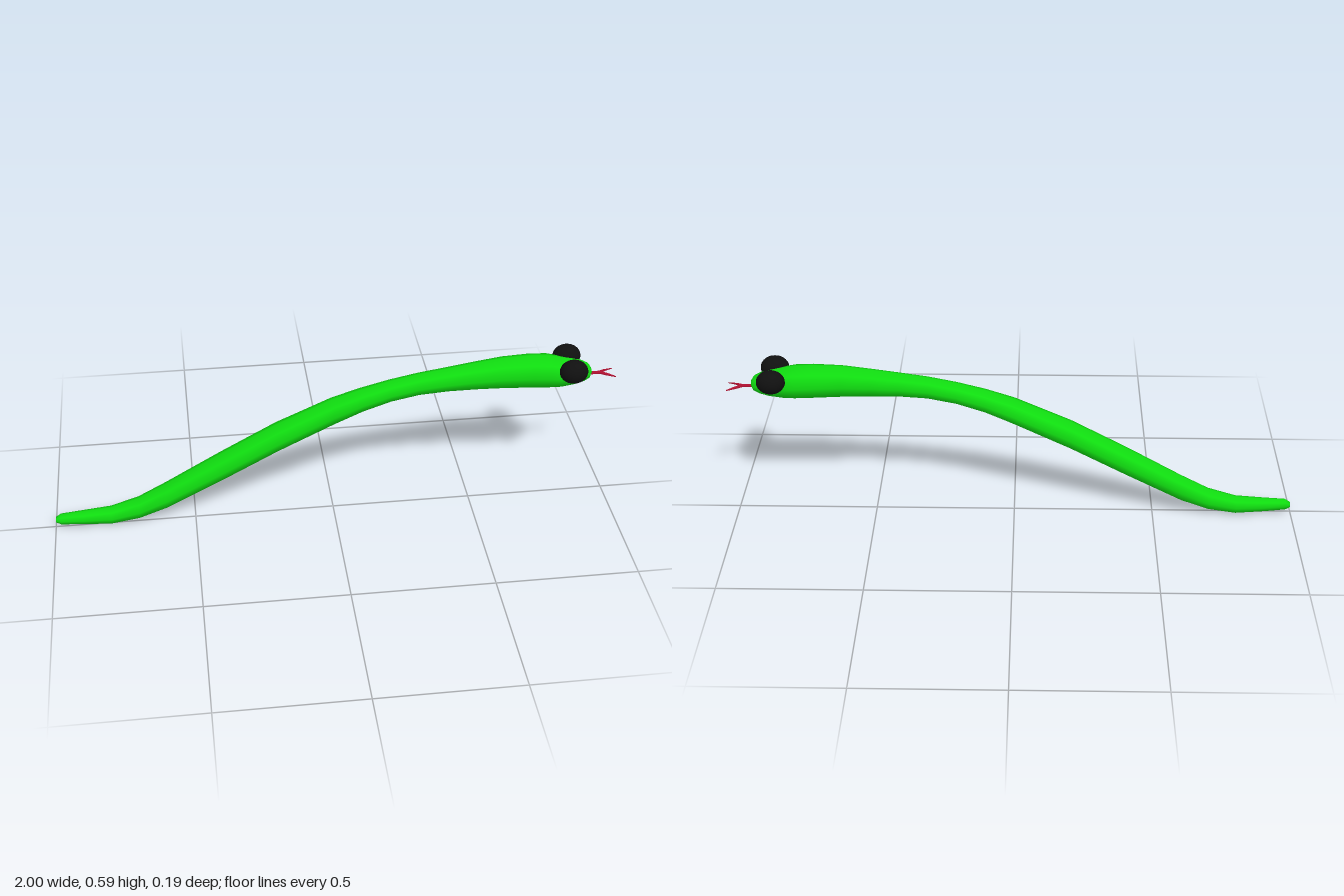
import * as THREE from 'three';

// Body stations: x, top y, bottom y, far side z, near side z
const STATIONS = [
  [-0.998, 0.042, 0.024, -0.012, 0.010], [-0.98, 0.054, 0.015, -0.021, 0.018],
  [-0.9, 0.059, 0.009, -0.030, 0.023], [-0.8, 0.067, 0.003, -0.038, 0.028],
  [-0.7, 0.098, 0.020, -0.045, 0.034], [-0.6, 0.152, 0.057, -0.050, 0.039],
  [-0.4, 0.266, 0.163, -0.056, 0.047], [-0.2, 0.375, 0.272, -0.058, 0.049],
  [0, 0.465, 0.370, -0.054, 0.046], [0.1, 0.498, 0.415, -0.048, 0.042],
  [0.2, 0.525, 0.448, -0.044, 0.038], [0.3, 0.546, 0.468, -0.043, 0.038],
  [0.4, 0.561, 0.475, -0.046, 0.041], [0.5, 0.576, 0.475, -0.052, 0.045],
  [0.6, 0.589, 0.473, -0.059, 0.051], [0.7, 0.592, 0.469, -0.065, 0.057],
  [0.76, 0.588, 0.467, -0.066, 0.060], [0.8, 0.579, 0.467, -0.060, 0.058],
  [0.85, 0.568, 0.472, -0.049, 0.048], [0.885, 0.556, 0.482, -0.040, 0.040],
  [0.905, 0.544, 0.494, -0.032, 0.032], [0.914, 0.528, 0.508, -0.015, 0.015],
];
const SIDES = 8;

// Skins eight-sided rings along x and closes both ends
function bodyGeometry() {
  const pos = [], index = [];
  for (const [x, top, bottom, zFar, zNear] of STATIONS) {
    const cy = (top + bottom) / 2, cz = (zFar + zNear) / 2;
    for (let j = 0; j < SIDES; j++) {
      const a = (j / SIDES) * Math.PI * 2;
      pos.push(x, cy + Math.cos(a) * (top - bottom) / 2, cz + Math.sin(a) * (zNear - zFar) / 2);
    }
  }
  const last = (STATIONS.length - 1) * SIDES;
  for (let i = 0; i < last; i += SIDES) {
    for (let j = 0; j < SIDES; j++) {
      const k = (j + 1) % SIDES;
      const a = i + j, b = i + k, c = a + SIDES, d = b + SIDES;
      index.push(a, b, c, b, d, c);
    }
  }
  for (let j = 1; j < SIDES - 1; j++) {
    index.push(0, j + 1, j, last, last + j, last + j + 1);
  }
  const geo = new THREE.BufferGeometry();
  geo.setAttribute('position', new THREE.Float32BufferAttribute(pos, 3));
  geo.setIndex(index);
  geo.computeVertexNormals();
  return geo;
}

export function createModel() {
  const model = new THREE.Group();
  model.name = 'snake';
  const add = (name, geo, material, parent = model) => {
    const mesh = new THREE.Mesh(geo, material);
    mesh.name = name;
    parent.add(mesh);
    return mesh;
  };
  const green = new THREE.MeshStandardMaterial({ color: 0x10dd10 });
  const black = new THREE.MeshStandardMaterial({ color: 0x101010 });
  const red = new THREE.MeshStandardMaterial({ color: 0xb01030, side: THREE.DoubleSide });

  add('body', bodyGeometry(), green);

  // Bulging eyes
  for (const [name, side] of [['rightEye', 1], ['leftEye', -1]]) {
    const eye = add(name, new THREE.SphereGeometry(1, 24, 16), black);
    eye.scale.set(0.05, 0.042, 0.041);
    eye.position.set(0.837, 0.551, side * 0.054);
  }

  // Thin forked tongue, drooping toward the tips
  const tongueShape = new THREE.Shape([
    [0.88, -0.008], [0.945, -0.007], [0.965, -0.017], [1.0, -0.028], [0.975, -0.012],
    [0.957, 0], [0.975, 0.012], [1.0, 0.028], [0.965, 0.017], [0.945, 0.007], [0.88, 0.008],
  ].map(([x, z]) => new THREE.Vector2(x, z)));
  const tongueGeo = new THREE.ExtrudeGeometry(tongueShape, { depth: 0.004, bevelEnabled: false });
  tongueGeo.rotateX(Math.PI / 2);
  const p = tongueGeo.attributes.position;
  for (let i = 0; i < p.count; i++) {
    p.setY(i, p.getY(i) + 0.509 - 7 * p.getZ(i) ** 2);
  }
  tongueGeo.computeVertexNormals();
  add('tongue', tongueGeo, red);

  return model;
}
